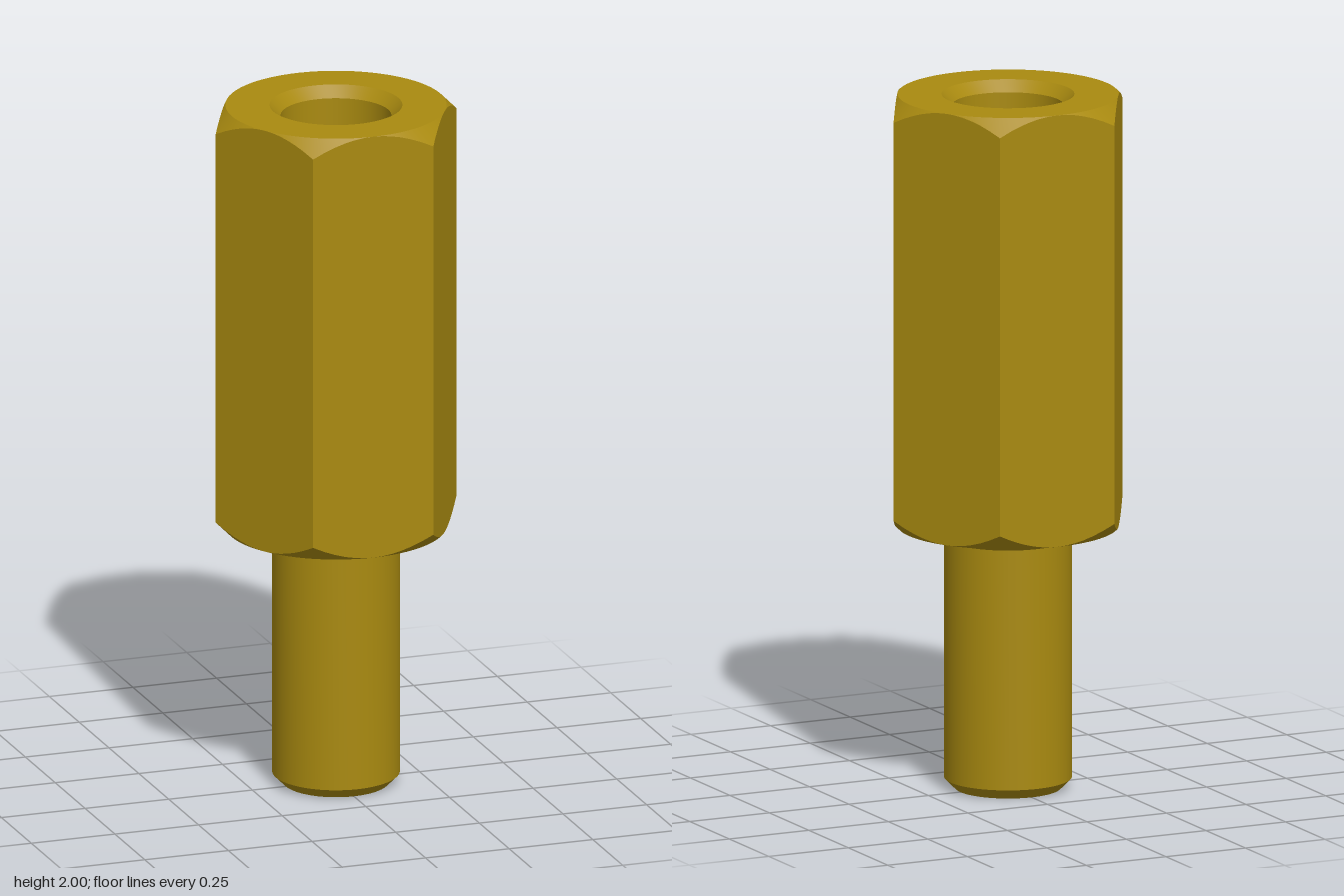
import * as THREE from 'three';
import { toCreasedNormals } from 'three/addons/utils/BufferGeometryUtils.js';

const SEGMENTS = 72;      // multiple of 6, so hexagon corners fall on segments
const APOTHEM = 0.3115;   // half the width across flats
const BASE = 0.755;       // underside of the hexagon
const TOP = 2;
const BORE_FLOOR = 1.25;

const material = new THREE.MeshStandardMaterial({ color: 0xa98a10 });

function turn(profile) {
  return new THREE.LatheGeometry(profile.map(([r, y]) => new THREE.Vector2(r, y)), SEGMENTS);
}

function addPart(group, name, geometry) {
  const mesh = new THREE.Mesh(toCreasedNormals(geometry, 0.4), material);
  mesh.name = name;
  group.add(mesh);
}

// Six flat sides, with corners cut by 45 degree cones at both ends
function hexGeometry() {
  const geometry = turn([[APOTHEM, BASE], [APOTHEM, BASE], [APOTHEM, TOP], [APOTHEM, TOP]]);
  const pos = geometry.attributes.position;
  const sector = Math.PI / 3;
  for (let i = 0; i < pos.count; i++) {
    const row = i % 4;
    if (row === 0 || row === 3) continue; // end circles stay round
    const angle = Math.atan2(pos.getX(i), pos.getZ(i));
    const offset = angle - Math.round(angle / sector) * sector;
    const stretch = 1 / Math.cos(offset);
    const drop = APOTHEM * (stretch - 1);
    pos.setXYZ(i, pos.getX(i) * stretch, row === 1 ? BASE + drop : TOP - drop, pos.getZ(i) * stretch);
  }
  return geometry;
}

export function createModel() {
  const group = new THREE.Group();
  group.name = 'hexStandoff';

  // Chamfered stud with a flared root, and the flat underside of the hexagon
  addPart(group, 'stud', turn([
    [0, 0], [0.15, 0], [0.18, 0.03], [0.18, 0.722], [0.213, BASE], [APOTHEM, BASE],
  ]));

  addPart(group, 'hexBody', hexGeometry());

  // Flat top ring, countersink and blind bore
  addPart(group, 'bore', turn([
    [APOTHEM, TOP], [0.187, TOP], [0.156, TOP - 0.031], [0.156, BORE_FLOOR], [0, BORE_FLOOR],
  ]));

  return group;
}
